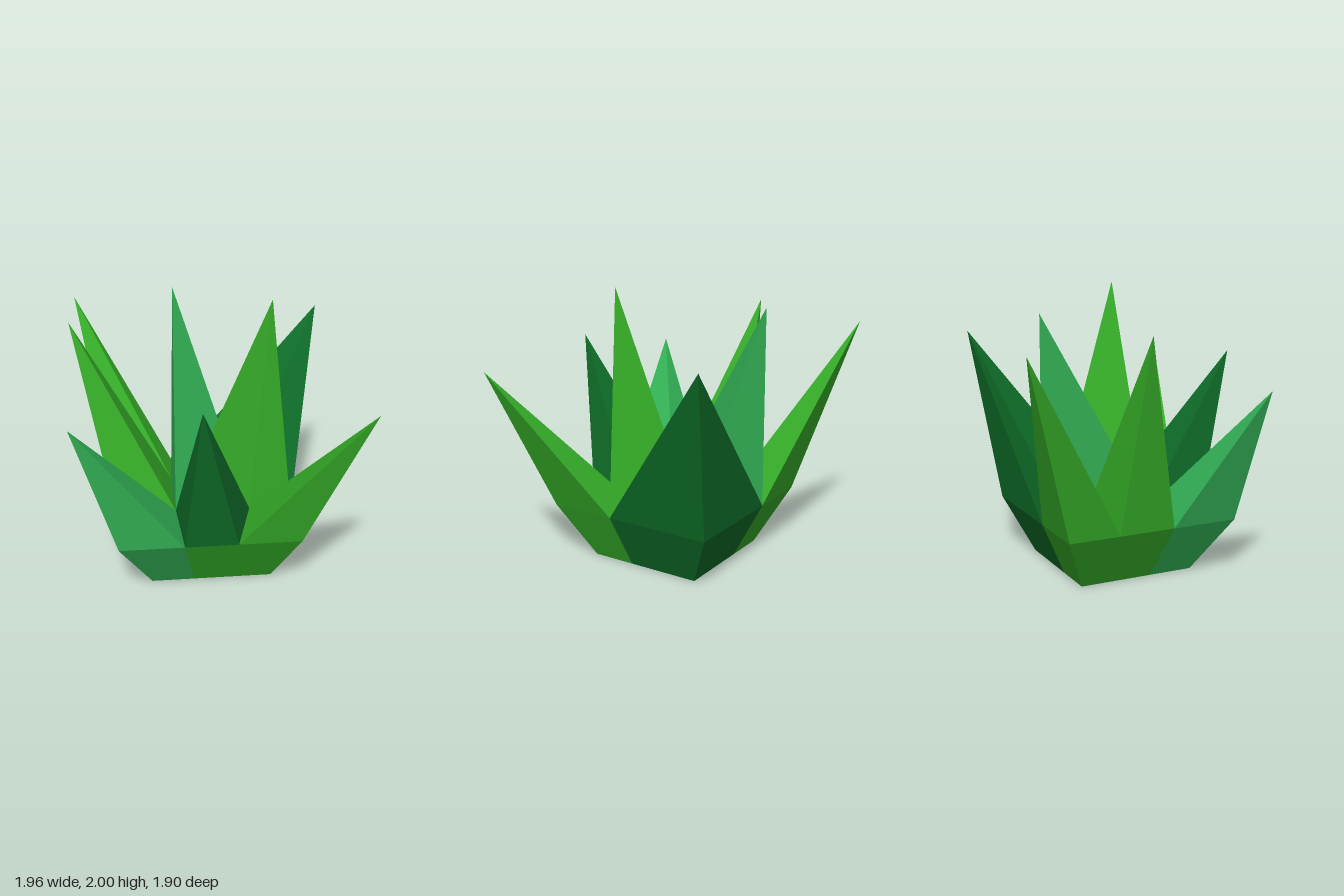
import * as THREE from 'three';

function material(name, color) {
  const m = new THREE.MeshStandardMaterial({ color, flatShading: true, side: THREE.DoubleSide });
  m.name = name;
  return m;
}

// Flat-shaded mesh from a list of triangles of [x, y, z] corners
function facets(name, triangles, mat) {
  const geo = new THREE.BufferGeometry();
  geo.setAttribute('position', new THREE.Float32BufferAttribute(triangles.flat(2), 3));
  geo.computeVertexNormals();
  const mesh = new THREE.Mesh(geo, mat);
  mesh.name = name;
  return mesh;
}

// Pointed leaf: an open pyramid from a base loop to a leaning tip
function leaf(name, loop, tip, mat) {
  return facets(name, loop.map((p, i) => [p, loop[(i + 1) % loop.length], tip]), mat);
}

// Flared wall strip between a bottom path and a rim path
function wall(name, bottom, rim, mat) {
  const tris = [];
  for (let i = 0; i < rim.length - 1; i++) {
    tris.push([bottom[i], bottom[i + 1], rim[i + 1]], [bottom[i], rim[i + 1], rim[i]]);
  }
  return facets(name, tris, mat);
}

export function createModel() {
  const group = new THREE.Group();
  group.name = 'spikyPlant';
  const green = material('leaf green', 0x35ad28);
  const dark = material('deep green', 0x0f6e29);
  const light = material('blue green', 0x32b055);

  // Rim corners (y = 0.4), inner corners and foot corners
  const rim = (x, z) => [x, 0.4, z];
  const inner = (x, z) => [x, 0.43, z];
  const foot = (x, z) => [x, 0, z];
  const FL = rim(-0.69, 0.69), F1 = rim(-0.24, 0.69), F2 = rim(0.13, 0.69), FR = rim(0.57, 0.69);
  const R1 = rim(0.57, 0.21), BR = rim(0.57, -0.57), B1 = rim(-0.23, -0.57), BL = rim(-0.69, -0.57);
  const L1 = rim(-0.69, -0.2), L2 = rim(-0.69, 0.21);
  const iFL = inner(-0.27, 0.23), iFR = inner(0.26, 0.25);
  const iBR = inner(0.24, -0.27), iBL = inner(-0.27, -0.27);

  // Leaves
  group.add(
    leaf('frontLeaf', [F1, F2, iFR, iFL], [-0.14, 1.51, 0.95], dark),
    leaf('frontLeftCornerLeaf', [FL, F1, iFL, L2], [-0.98, 1.35, 0.77], light),
    leaf('frontRightCornerLeaf', [F2, FR, R1, iFR], [0.98, 1.44, 0.94], green),
    leaf('sideLeaf', [L2, iFL, iBL, L1], [-0.97, 1.76, -0.12], green),
    leaf('backLeftCornerLeaf', [L1, iBL, B1, BL], [-0.95, 1.68, -0.95], green),
    leaf('backRightCornerLeaf', [B1, iBR, R1, BR], [0.88, 1.63, -0.71], dark),
    leaf('backCenterLeaf', [iFL, iBR, B1, iBL], [-0.22, 1.85, -0.57], light),
    leaf('tallCenterLeaf', [iFL, iFR, R1, iBR], [0.39, 2.0, 0.26], green)
  );

  // Flared open base, split by leaf colour
  const fFL = foot(-0.46, 0.47), fF = foot(-0.16, 0.47), fFR = foot(0.39, 0.47);
  const fR = foot(0.39, 0.15), fBR = foot(0.39, -0.38), fB = foot(-0.16, -0.38);
  const fBL = foot(-0.46, -0.38), fL = foot(-0.46, 0.15);
  group.add(
    wall('frontLeftBase', [fL, fFL, fF], [L2, FL, F1], light),
    wall('frontRightBase', [fF, fFR, fR], [F1, FR, R1], green),
    wall('backRightBase', [fR, fBR, fB], [R1, BR, B1], dark),
    wall('backLeftBase', [fB, fBL, fL], [B1, BL, L2], green)
  );
  return group;
}
